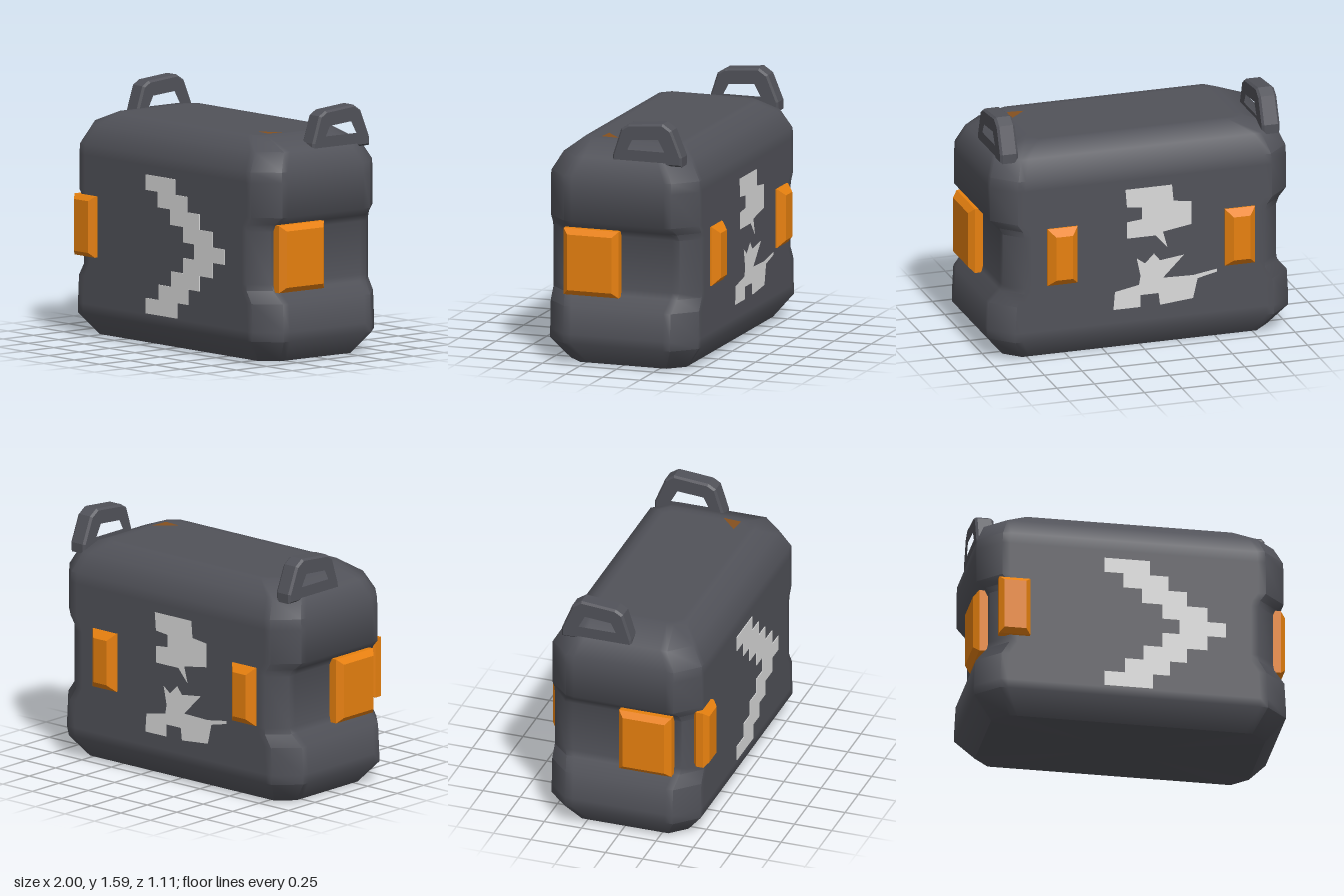
import * as THREE from 'three';
import { toCreasedNormals } from 'three/addons/utils/BufferGeometryUtils.js';

const material = (name, color) => {
  const m = new THREE.MeshStandardMaterial({ color });
  m.name = name;
  return m;
};

// Octagonal cross-section with narrow shoulder strips beside each chamfer
function ringPoints(hx, hz, c) {
  const s = 0.05;
  const q = [[hx, hz - c - s], [hx, hz - c], [hx - c, hz], [hx - c - s, hz]];
  const r = [...q].reverse();
  return [...q, ...r.map(([x, z]) => [-x, z]), ...q.map(([x, z]) => [-x, -z]), ...r.map(([x, z]) => [x, -z])];
}

// Case body lofted through rings of [y, half width, half depth, chamfer]
function bodyGeometry() {
  const rings = [
    [0, 0.88, 0.39, 0.1], [0.14, 1.0, 0.5, 0.14], [0.2, 1.0, 0.5, 0.14],
    [0.38, 0.99, 0.5, 0.14], [0.46, 0.92, 0.5, 0.12], [0.5, 0.91, 0.5, 0.11],
    [0.84, 0.91, 0.5, 0.11], [0.88, 0.93, 0.5, 0.12], [0.93, 0.985, 0.5, 0.14],
    [1.15, 0.985, 0.5, 0.14], [1.22, 0.98, 0.5, 0.14], [1.34, 0.93, 0.43, 0.13],
    [1.42, 0.72, 0.33, 0.06], [1.42, 0.68, 0.29, 0.05],
  ];
  const pos = [], index = [], n = 16;
  for (const [y, hx, hz, c] of rings) {
    for (const [x, z] of ringPoints(hx, hz, c)) pos.push(x, y, z);
  }
  const bottom = pos.length / 3, top = bottom + 1, last = (rings.length - 1) * n;
  pos.push(0, 0, 0, 0, 1.42, 0);
  for (let j = 0; j < n; j++) {
    const k = (j + 1) % n;
    for (let i = 0; i < rings.length - 1; i++) {
      const a = i * n + j, b = i * n + k;
      index.push(a, a + n, b + n, a, b + n, b);
    }
    index.push(bottom, j, k, top, last + k, last + j);
  }
  const g = new THREE.BufferGeometry();
  g.setAttribute('position', new THREE.Float32BufferAttribute(pos, 3));
  g.setIndex(index);
  return toCreasedNormals(g, 0.85);
}

// Bevelled pad whose outer face lies on z = 0
function padGeometry(w, h, depth, bevel) {
  const x = w / 2 - bevel, y = h / 2 - bevel;
  const shape = new THREE.Shape([[-x, -y], [x, -y], [x, y], [-x, y]].map(p => new THREE.Vector2(...p)));
  const g = new THREE.ExtrudeGeometry(shape, {
    depth: depth - bevel, bevelThickness: bevel, bevelSize: bevel, bevelSegments: 1,
  });
  return g.translate(0, 0, -depth);
}

const polygon = pts => pts.map(p => new THREE.Vector2(...p));

export function createModel() {
  const group = new THREE.Group();
  const charcoal = material('charcoal', 0x515259);
  const orange = material('orange', 0xe8810f);
  const pale = material('paleGrey', 0xdadada);
  const rust = material('rust', 0x85501f);
  const add = (name, geometry, mat, x = 0, y = 0, z = 0, ry = 0) => {
    const mesh = new THREE.Mesh(geometry, mat);
    mesh.name = name;
    mesh.position.set(x, y, z);
    mesh.rotation.y = ry;
    group.add(mesh);
    return mesh;
  };

  add('caseBody', bodyGeometry(), charcoal);

  // Carrying handles, drawn in (-z, y) and extruded across x
  const handle = new THREE.Shape(polygon([
    [-0.06, 1.32], [-0.055, 1.37], [0, 1.54], [0.05, 1.57], [0.28, 1.59], [0.34, 1.55], [0.41, 1.38], [0.41, 1.32],
  ]));
  handle.holes.push(new THREE.Path(polygon([[0.03, 1.4], [0.07, 1.485], [0.26, 1.5], [0.31, 1.4]])));
  const handleGeometry = new THREE.ExtrudeGeometry(handle, {
    depth: 0.09, bevelThickness: 0.015, bevelSize: 0.012, bevelOffset: -0.012, bevelSegments: 1,
  }).translate(0, 0, -0.045).rotateY(Math.PI / 2);
  for (const side of [-1, 1]) add(side > 0 ? 'leftHandle' : 'rightHandle', handleGeometry, charcoal, side * 0.87);

  // Orange pads: side latches, one front latch, two back latches
  add('leftSidePad', padGeometry(0.37, 0.43, 0.16, 0.035), orange, 1.0, 0.665, 0.185, Math.PI / 2);
  add('rightSidePad', padGeometry(0.35, 0.42, 0.16, 0.035), orange, -1.0, 0.67, 0.165, -Math.PI / 2);
  add('frontPad', padGeometry(0.2, 0.39, 0.08, 0.03), orange, -0.77, 0.705, 0.55);
  for (const x of [-0.63, 0.55]) add('backPad', padGeometry(0.2, 0.38, 0.06, 0.045), orange, x, 0.695, -0.555, Math.PI);

  // Stepped front chevron, one thin strip per row from the top down
  const rows = [[-0.19, 0.1], [-0.07, 0.22], [0.05, 0.34], [0.18, 0.47], [0.29, 0.59],
    [0.18, 0.47], [0.06, 0.34], [-0.06, 0.23], [-0.19, 0.12]];
  rows.forEach(([x0, x1], i) => {
    add('chevronStep', new THREE.BoxGeometry(x1 - x0, 0.0985, 0.006), pale, (x0 + x1) / 2, 1.045 - i * 0.0985, 0.502);
  });

  // Worn paint patches on the back
  const upperPatch = [[0.13, 1.09], [-0.18, 1.09], [-0.19, 0.98], [-0.31, 0.965], [-0.31, 0.81], [-0.12, 0.78],
    [-0.15, 0.67], [-0.07, 0.76], [0.12, 0.76], [0.12, 0.87], [0.02, 0.88], [0.02, 0.96], [0.12, 0.97]];
  const lowerPatch = [[0.055, 0.62], [0, 0.58], [-0.06, 0.64], [-0.1, 0.59], [-0.26, 0.61], [-0.12, 0.47], [-0.32, 0.465],
    [-0.48, 0.49], [-0.48, 0.47], [-0.35, 0.44], [-0.32, 0.31], [-0.1, 0.29], [-0.09, 0.37], [0.03, 0.37],
    [0.03, 0.29], [0.21, 0.29], [0.2, 0.41], [0.04, 0.44], [0.03, 0.5]];
  for (const pts of [upperPatch, lowerPatch]) {
    const shape = new THREE.Shape(polygon(pts.map(([x, y]) => [-x, y])));
    add('backPaintPatch', new THREE.ShapeGeometry(shape), pale, 0, 0, -0.504, Math.PI);
  }

  // Small rust fleck on the lid
  const fleck = new THREE.Shape(polygon([[0.57, -0.21], [0.68, -0.22], [0.69, -0.1]]));
  add('rustFleck', new THREE.ShapeGeometry(fleck).rotateX(-Math.PI / 2), rust, 0, 1.424, 0);

  return group;
}
